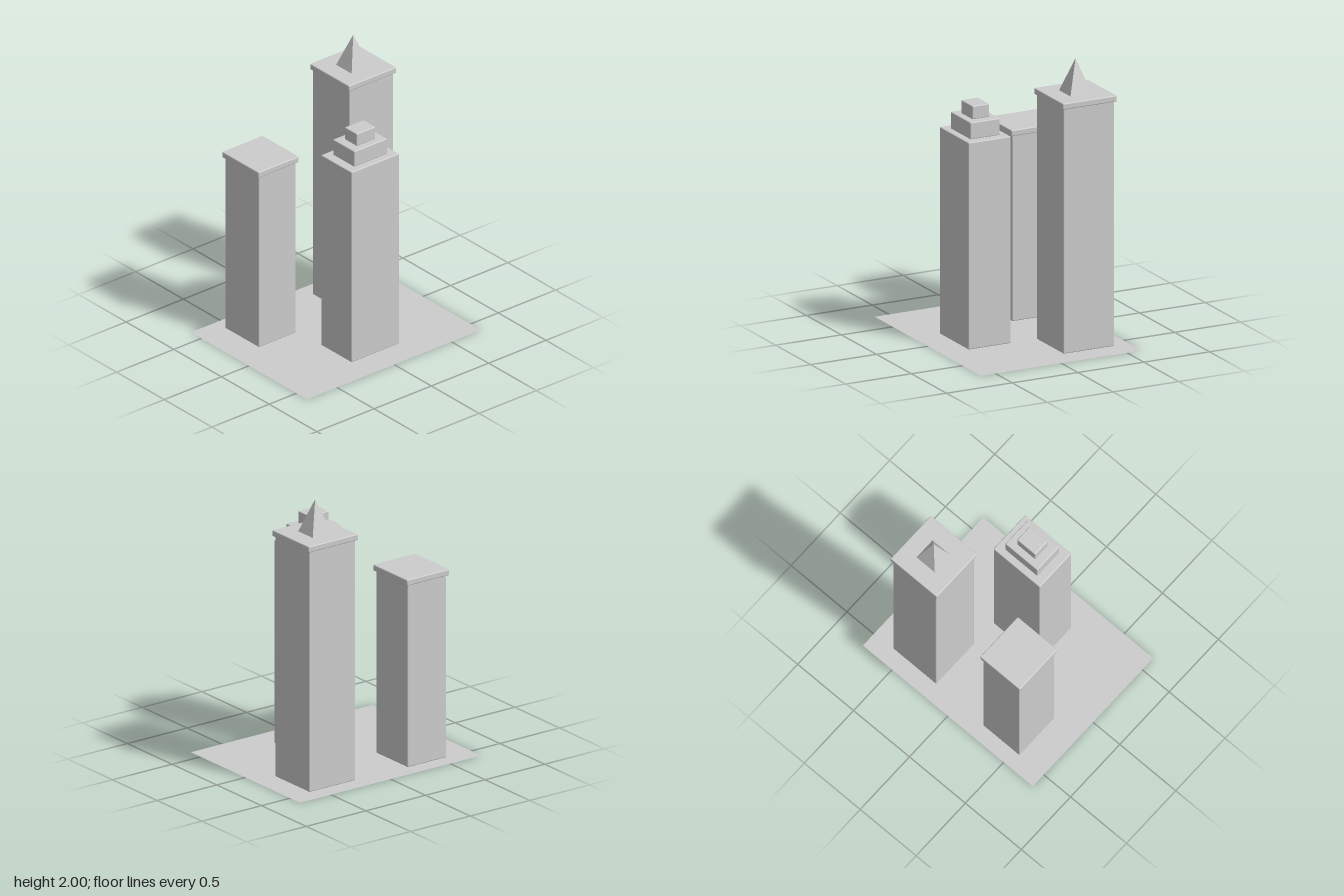
import * as THREE from 'three';
import { RoundedBoxGeometry } from 'three/addons/geometries/RoundedBoxGeometry.js';

const concrete = new THREE.MeshStandardMaterial({ color: 0xcccccc });
concrete.name = 'concrete grey';
const ground = new THREE.MeshStandardMaterial({ color: 0xcccccc, side: THREE.DoubleSide });
ground.name = 'ground grey';

// Softly bevelled block standing on height y0 and reaching y1
function block(name, width, depth, y0, y1) {
  const mesh = new THREE.Mesh(new RoundedBoxGeometry(width, y1 - y0, depth, 2, 0.007), concrete);
  mesh.name = name;
  mesh.position.y = (y0 + y1) / 2;
  return mesh;
}

function building(name, x, z, ...parts) {
  const group = new THREE.Group();
  group.name = name;
  group.position.set(x, 0, z);
  group.add(...parts);
  return group;
}

// Four-sided pointed roof
function pyramid(name, side, y0, y1) {
  const geometry = new THREE.ConeGeometry(side / Math.SQRT2, y1 - y0, 4, 1).rotateY(Math.PI / 4).toNonIndexed();
  geometry.computeVertexNormals();
  const mesh = new THREE.Mesh(geometry, concrete);
  mesh.name = name;
  mesh.position.y = (y0 + y1) / 2;
  return mesh;
}

export function createModel() {
  const model = new THREE.Group();
  model.name = 'skyscrapers';

  // Flat plot under the towers
  const plot = new THREE.Mesh(new THREE.PlaneGeometry(1.22, 1.52).rotateX(-Math.PI / 2), ground);
  plot.name = 'groundPlot';
  model.add(plot);

  // Tallest tower with overhanging roof slab and spire
  model.add(building('spireTower', -0.3, -0.4,
    block('spireTowerBody', 0.385, 0.385, 0.003, 1.725),
    block('spireTowerRoofSlab', 0.41, 0.415, 1.722, 1.765),
    pyramid('spire', 0.164, 1.763, 2)));

  // Tower with two stepped upper storeys
  model.add(building('steppedTower', 0.25, -0.002,
    block('steppedTowerBody', 0.322, 0.415, 0.003, 1.456),
    block('lowerStep', 0.225, 0.287, 1.454, 1.573),
    block('upperStep', 0.128, 0.163, 1.571, 1.665)));

  // Lower tower with overhanging roof slab
  model.add(building('lowTower', -0.328, 0.385,
    block('lowTowerBody', 0.354, 0.325, 0.003, 1.309),
    block('lowTowerRoofSlab', 0.382, 0.355, 1.307, 1.35)));

  return model;
}
